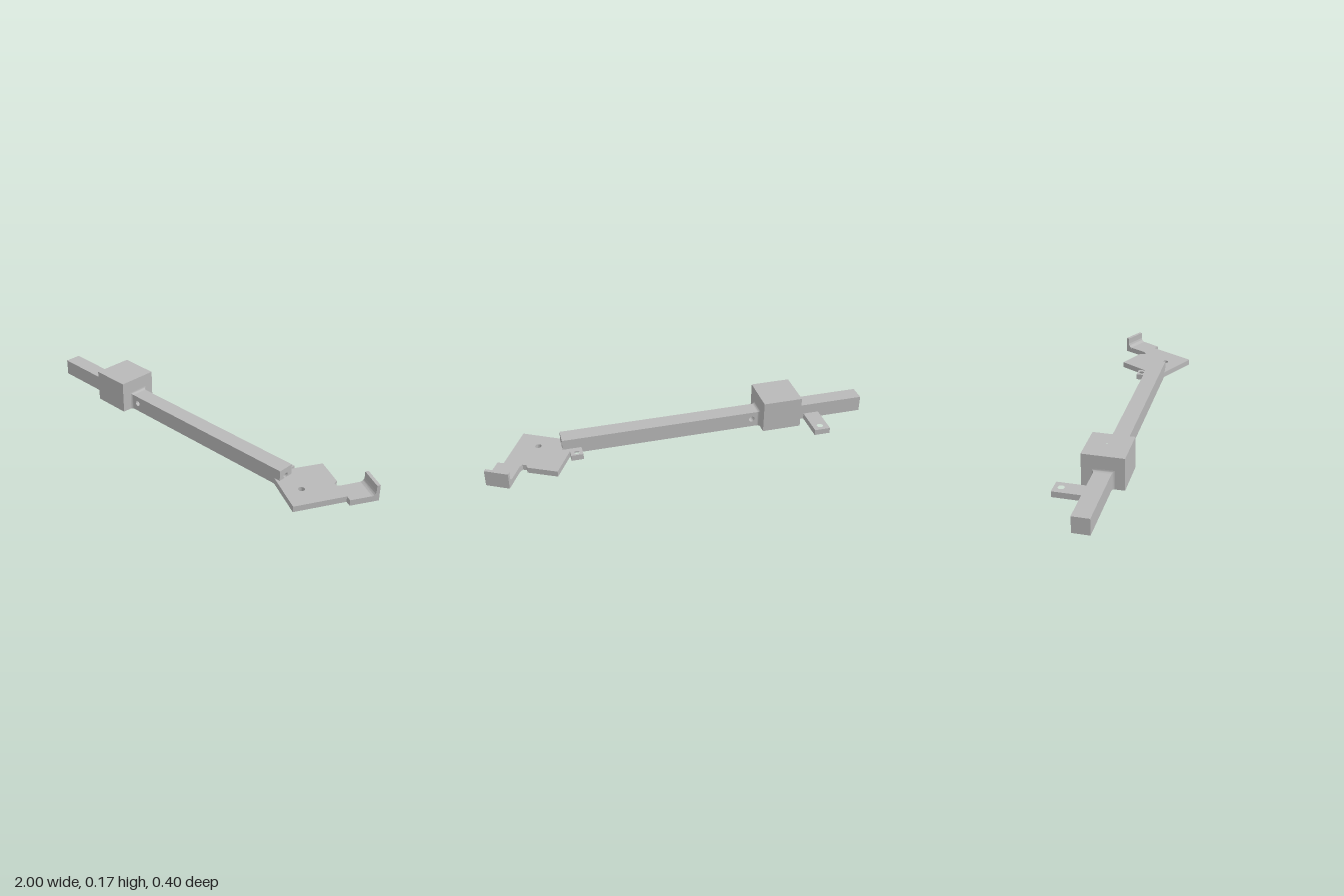
import * as THREE from 'three';
import { toCreasedNormals } from 'three/addons/utils/BufferGeometryUtils.js';

const grey = new THREE.MeshStandardMaterial({ color: 0xb8b8b8 });
grey.name = 'plain grey';

const PLATE = 0.03;               // thickness of plate and tabs
const BAR = { z0: 0.008, z1: 0.092, h: 0.083 };
const MID = 0.05;                 // z of the bar's centre line
const U = new THREE.Vector3(0.883, 0, 0.469);   // along the angled plate's short side

function addMesh(group, name, geometry) {
  const mesh = new THREE.Mesh(toCreasedNormals(geometry, 0.6), grey);
  mesh.name = name;
  group.add(mesh);
  return mesh;
}

const circle = (x, y, r) => new THREE.Path().absarc(x, y, r, 0, Math.PI * 2, true);
const outline = (pts) => new THREE.Shape(pts.map(([a, b]) => new THREE.Vector2(a, b)));
const rect = (a0, b0, a1, b1) => [[a0, b0], [a1, b0], [a1, b1], [a0, b1]];

function extrude(shape, depth) {
  return new THREE.ExtrudeGeometry(shape, { depth, bevelEnabled: false, curveSegments: 24 });
}

// Horizontal slab from an (x, z) outline, with round holes [x, z, r] and polygon cut-outs
function slab(pts, y0, y1, holes = [], cuts = []) {
  const shape = outline(pts.map(([x, z]) => [x, -z]));
  holes.forEach(([x, z, r]) => shape.holes.push(circle(x, -z, r)));
  cuts.forEach((c) => shape.holes.push(new THREE.Path(c.map(([x, z]) => new THREE.Vector2(x, -z)))));
  return extrude(shape, y1 - y0).rotateX(-Math.PI / 2).translate(0, y0, 0);
}

// Concave flare around the bar, growing to the block's face at x = 0 from x = r
function flareGeometry(r) {
  const steps = 6, rings = [], pos = [];
  for (let i = 0; i <= steps; i++) {
    const a = (i / steps) * Math.PI / 2;
    const x = r * (1 - Math.cos(a)), o = r * (1 - Math.sin(a));
    const hw = (BAR.z1 - BAR.z0) / 2 + o, h = BAR.h + o;
    rings.push([[x, 0, -hw], [x, h, -hw], [x, h, hw], [x, 0, hw]]);
  }
  for (let i = 0; i < steps; i++) {
    for (let j = 0; j < 4; j++) {
      const k = (j + 1) % 4;
      const a = rings[i][j], b = rings[i][k], c = rings[i + 1][k], d = rings[i + 1][j];
      pos.push(...a, ...b, ...c, ...a, ...c, ...d);
    }
  }
  const g = new THREE.BufferGeometry();
  g.setAttribute('position', new THREE.Float32BufferAttribute(pos, 3));
  g.computeVertexNormals();
  return g;
}

export function createModel() {
  const model = new THREE.Group();
  model.name = 'bracketArm';

  // Bar: solid tail, middle with a cross hole, end with a teardrop bore
  const width = BAR.z1 - BAR.z0;
  addMesh(model, 'barTail', extrude(outline(rect(-1, 0, -0.634, BAR.h)), width).translate(0, 0, BAR.z0));
  const middle = outline(rect(-0.436, 0, 0.35, BAR.h));
  middle.holes.push(circle(-0.39, 0.044, 0.015));
  addMesh(model, 'barMiddle', extrude(middle, width).translate(0, 0, BAR.z0));
  const end = outline(rect(-BAR.z1, 0, -BAR.z0, BAR.h));
  const bore = new THREE.Path();
  bore.moveTo(-MID, 0.063);
  bore.absarc(-MID, 0.043, 0.014, Math.PI * 0.75, Math.PI * 2.25, false);
  bore.closePath();
  end.holes.push(bore);
  addMesh(model, 'barEnd', extrude(end, 0.255).rotateY(Math.PI / 2).translate(0.35, 0, 0));

  // Block: wide socket and two screw holes below, a narrow hole on top
  const bx = -0.535, half = 0.102;
  const square = rect(bx - half, MID - half, bx + half, MID + half);
  addMesh(model, 'blockBase', slab(square, 0, 0.11,
    [[bx, MID, 0.05], [bx, MID - 0.072, 0.01], [bx, MID + 0.072, 0.01]]));
  addMesh(model, 'blockTop', slab(square, 0.11, 0.165, [[bx, MID, 0.016]]));
  for (const side of [1, -1]) {
    const flare = addMesh(model, side > 0 ? 'leftFlare' : 'rightFlare', flareGeometry(0.014));
    flare.position.set(bx + side * half, 0, MID);
    flare.rotation.y = side > 0 ? 0 : Math.PI;
  }

  // Screw tabs behind the bar
  addMesh(model, 'largeTab', slab(rect(-0.762, -0.155, -0.68, 0.02), 0, PLATE, [[-0.72, -0.12, 0.016]]));
  addMesh(model, 'smallTab', slab(rect(0.51, -0.055, 0.572, 0.02), 0, PLATE, [[0.54, -0.032, 0.013]]));

  // Angled plate with arm; the lower layer has a long groove
  const plate = [[0.572, 0.092], [0.778, 0.202], [0.9, -0.03], [0.928, -0.016], [0.997, -0.144],
    [0.89, -0.2], [0.827, -0.078], [0.812, -0.066], [0.795, -0.074], [0.793, -0.096],
    [0.655, -0.166], [0.572, -0.015]];
  const hole = [0.718, 0.071, 0.016];
  const groove = [[-1, -1], [1, -1], [1, 1], [-1, 1]].map(([s, t]) =>
    [0.715 + s * 0.1 * U.x + t * 0.008 * U.z, 0.011 + s * 0.1 * U.z - t * 0.008 * U.x]);
  addMesh(model, 'plateLower', slab(plate, 0, PLATE / 2, [hole], [groove]));
  addMesh(model, 'plateUpper', slab(plate, PLATE / 2, PLATE, [hole]));

  // Upturned lip at the end of the arm, with a rounded inner corner
  const lip = new THREE.Shape();
  lip.moveTo(0, 0);
  lip.lineTo(0.039, 0);
  lip.lineTo(0.039, PLATE);
  lip.absarc(0.039, PLATE + 0.022, 0.022, -Math.PI / 2, -Math.PI, true);
  lip.lineTo(0.017, 0.083);
  lip.lineTo(0, 0.083);
  const frame = new THREE.Matrix4().makeBasis(
    new THREE.Vector3(-U.z, 0, U.x), new THREE.Vector3(0, 1, 0), U.clone().negate());
  frame.setPosition(0.997, 0, -0.144);
  addMesh(model, 'armLip', extrude(lip, 0.121).applyMatrix4(frame));

  return model;
}
